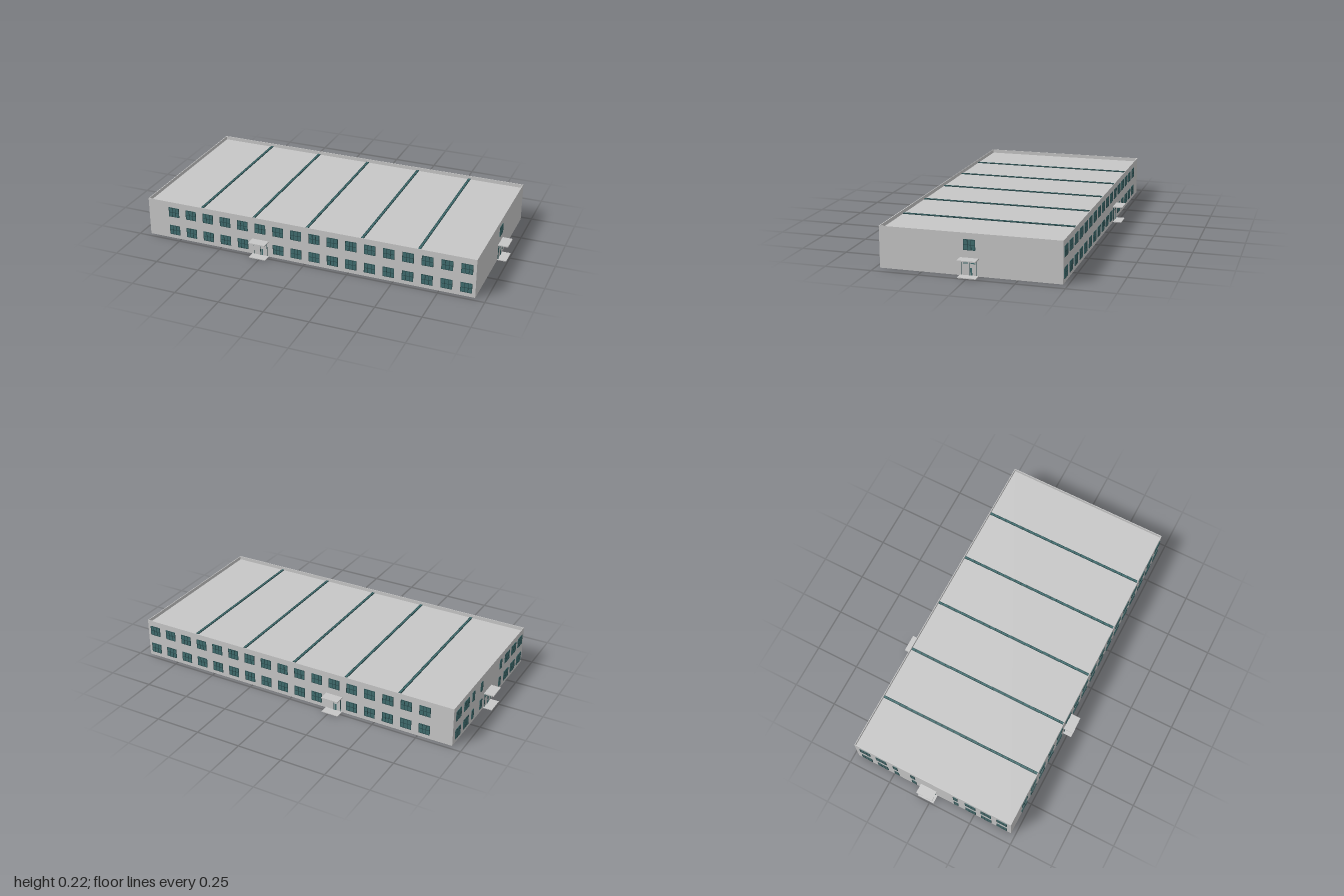
import * as THREE from 'three';

const W = 0.943, D = 0.475, H = 0.22, ROOF = 0.2;   // half width, half depth, wall top, roof deck

const mat = (name, color) => {
  const m = new THREE.MeshStandardMaterial({ color });
  m.name = name;
  return m;
};

export function createModel() {
  const concrete = mat('concrete grey', 0xc6c6c6);
  const glass = mat('teal glass', 0x3f6c6e);
  const frame = mat('dark teal frame', 0x28484a);

  const model = new THREE.Group();
  model.name = 'building';

  const box = (parent, name, m, w, h, d, x, y, z) => {
    const mesh = new THREE.Mesh(new THREE.BoxGeometry(w, h, d), m);
    mesh.name = name;
    mesh.position.set(x, y, z);
    parent.add(mesh);
    return mesh;
  };

  // Main block with a thin parapet around the sunken roof
  box(model, 'mainBlock', concrete, 2 * W, ROOF, 2 * D, 0, ROOF / 2, 0);
  const t = 0.004, ph = H - ROOF, py = (H + ROOF) / 2;
  for (const s of [-1, 1]) {
    box(model, 'parapetLong', concrete, 2 * W, ph, t, 0, py, s * (D - t / 2));
    box(model, 'parapetShort', concrete, t, ph, 2 * (D - t), s * (W - t / 2), py, 0);
  }

  // Roof light strips with cross bars
  for (let i = -2; i <= 2; i++) {
    const strip = new THREE.Group();
    strip.name = 'roofLight';
    strip.position.set(i * 0.3135, ROOF, 0);
    box(strip, 'roofGlass', glass, 0.012, 0.004, 2 * (D - t), 0, 0.002, 0);
    for (let k = 0; k <= 24; k++)
      box(strip, 'roofBar', frame, 0.013, 0.005, 0.004, 0, 0.0025, (k / 24 - 0.5) * 1.88 * D);
    for (const s of [-1, 1])
      box(strip, 'roofLightEdge', frame, 0.002, 0.005, 2 * (D - t), s * 0.006, 0.0025, 0);
    model.add(strip);
  }

  // One group per wall: local x runs along the wall, local z points outwards
  const wall = (name, turn, dist) => {
    const g = new THREE.Group();
    g.name = name;
    g.rotation.y = turn;
    g.position.set(Math.sin(turn) * dist, 0, Math.cos(turn) * dist);
    model.add(g);
    return g;
  };

  // Window: pane, outline and glazing bars
  const addWindow = (parent, x, y, w = 0.062, cols = 3) => {
    const h = 0.055, b = 0.0022;
    const g = new THREE.Group();
    g.name = 'window';
    g.position.set(x, y, 0);
    box(g, 'pane', glass, w, h, 0.002, 0, 0, 0.001);
    for (let i = 0; i <= cols; i++)
      box(g, 'uprightBar', frame, b, h, 0.004, (i / cols - 0.5) * (w - b), 0, 0.002);
    for (const k of [-1, 0, 1])
      box(g, 'crossBar', frame, w, b, 0.004, 0, k * (h - b) / 2, 0.002);
    parent.add(g);
  };

  // Entrance: double door, canopy and doorstep
  const addEntrance = (parent, x) => {
    const g = new THREE.Group();
    g.name = 'entrance';
    g.position.x = x;
    box(g, 'canopy', concrete, 0.097, 0.006, 0.055, 0, 0.09, 0.0275);
    box(g, 'doorstep', concrete, 0.097, 0.004, 0.05, 0, 0.002, 0.025);
    box(g, 'doorLeaves', concrete, 0.076, 0.08, 0.003, 0, 0.042, 0.0015);
    box(g, 'doorGap', frame, 0.003, 0.08, 0.004, 0, 0.042, 0.002);
    box(g, 'doorHead', frame, 0.079, 0.0015, 0.004, 0, 0.0825, 0.002);
    for (const s of [-1, 1]) {
      box(g, 'doorJamb', frame, 0.0015, 0.08, 0.004, s * 0.0388, 0.042, 0.002);
      box(g, 'doorLight', glass, 0.026, 0.005, 0.004, s * 0.02, 0.066, 0.002);
    }
    box(g, 'doorSideGlass', glass, 0.01, 0.038, 0.004, 0.01, 0.023, 0.002);
    parent.add(g);
  };

  const LOW = 0.051, HIGH = 0.16;

  // Long walls: 17 window bays, the sixth one holding the door
  for (const [name, turn, s] of [['frontWall', 0, 1], ['backWall', Math.PI, -1]]) {
    const g = wall(name, turn, D);
    for (let i = 0; i < 17; i++) {
      const x = s * (-0.786 + i * 0.105);
      addWindow(g, x, HIGH);
      if (i === 5) addEntrance(g, x);
      else addWindow(g, x, LOW);
    }
  }

  // Right end: a door with a single window above
  const right = wall('rightWall', Math.PI / 2, W);
  addEntrance(right, 0);
  addWindow(right, 0, HIGH);

  // Left end: two storeys of wide and narrow windows around the door
  const left = wall('leftWall', -Math.PI / 2, W);
  addEntrance(left, -0.027);
  for (const y of [LOW, HIGH]) {
    for (const z of [-0.415, -0.315, 0.23, 0.325, 0.42]) addWindow(left, z, y);
    for (const z of [-0.228, -0.12, 0.14]) addWindow(left, z, y, 0.026, 1);
  }

  return model;
}
